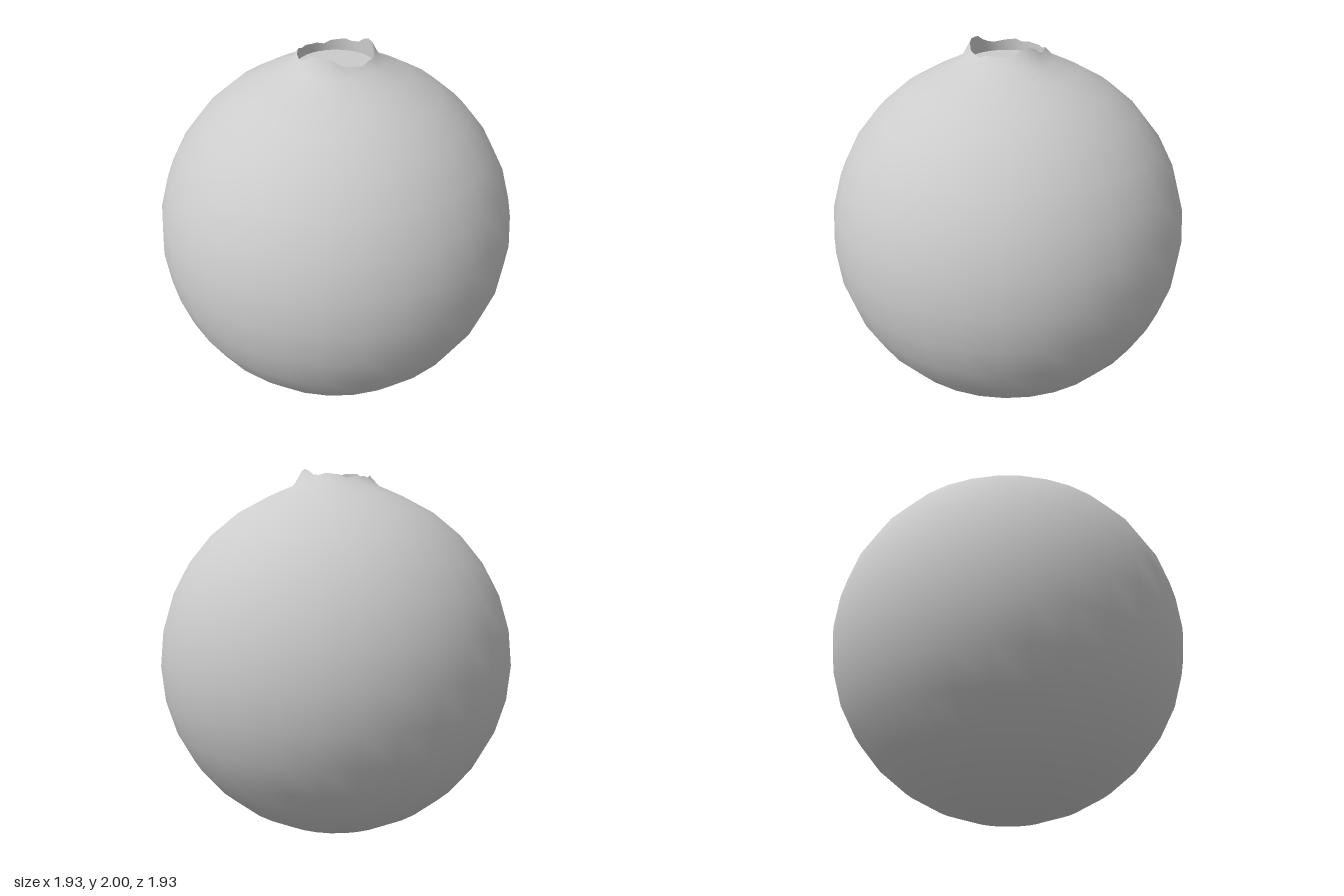
import * as THREE from 'three';
import { mergeVertices } from 'three/addons/utils/BufferGeometryUtils.js';

const SIDES = 32, R = 0.963, CY = 0.968, RIM = 0.19, FLOOR = 1.908;

// Height of the ragged rim at each step around, starting at the front and turning to +x
const rimHeights = [
  1.953, 1.945, 1.96, 1.96, 1.955, 1.96, 1.97, 1.993,
  2.0, 1.988, 1.965, 1.96, 1.97, 1.965, 1.96, 1.945,
  1.955, 1.955, 1.96, 1.955, 1.968, 1.965, 1.96, 1.955,
  1.96, 1.975, 1.998, 2.0, 2.0, 1.99, 1.965, 1.957,
];

// Lathe a profile, then move the ring at rimIndex to the ragged heights
function raggedLathe(profile, rimIndex) {
  const geo = new THREE.LatheGeometry(profile, SIDES);
  const pos = geo.attributes.position;
  for (let i = 0; i <= SIDES; i++) {
    pos.setY(i * profile.length + rimIndex, rimHeights[i % SIDES]);
  }
  geo.deleteAttribute('uv');
  geo.deleteAttribute('normal');
  const welded = mergeVertices(geo, 1e-4);
  welded.computeVertexNormals();
  return welded;
}

export function createModel() {
  const group = new THREE.Group();
  const material = new THREE.MeshStandardMaterial({ color: 0xcccccc, side: THREE.DoubleSide });
  const add = (name, geo) => {
    const mesh = new THREE.Mesh(geo, material);
    mesh.name = name;
    group.add(mesh);
    return mesh;
  };

  // Round body, from the bottom pole up into the lip
  const profile = [];
  for (let i = 0; i <= 14; i++) {
    const a = (i / 16) * Math.PI;
    profile.push(new THREE.Vector2(i ? R * Math.sin(a) : 0, CY - R * Math.cos(a)));
  }
  profile.push(new THREE.Vector2(0.237, 1.915), new THREE.Vector2(RIM, 1.96));
  add('body', raggedLathe(profile, profile.length - 1));

  // Inside of the opening
  const wall = [new THREE.Vector2(RIM, 1.96), new THREE.Vector2(RIM, FLOOR)];
  add('openingWall', raggedLathe(wall, 0));

  // Flat disc closing the opening
  const disc = add('openingFloor', new THREE.CircleGeometry(RIM, SIDES));
  disc.rotation.x = -Math.PI / 2;
  disc.position.y = FLOOR;

  return group;
}
